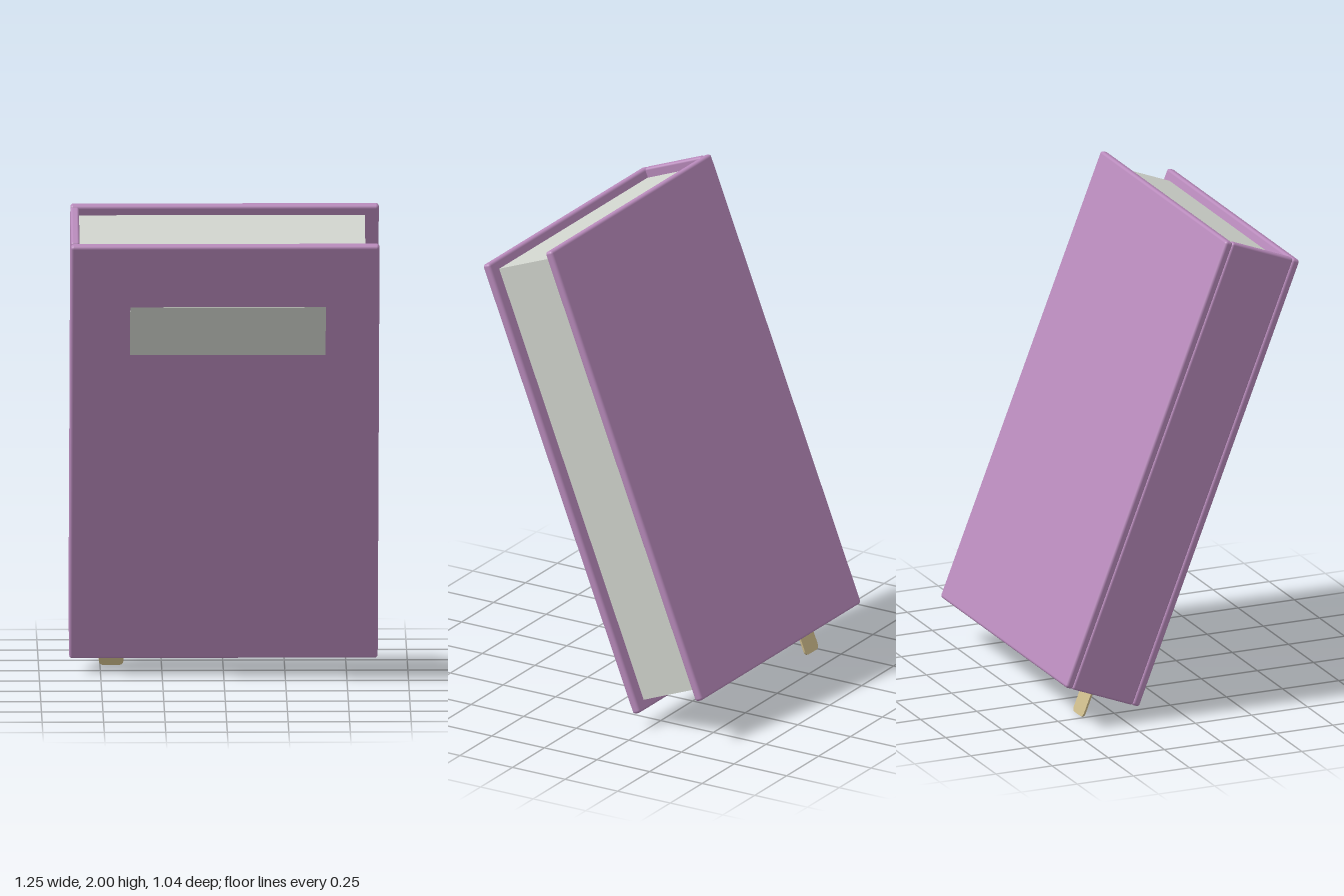
import * as THREE from 'three';
import { RoundedBoxGeometry } from 'three/addons/geometries/RoundedBoxGeometry.js';

const WIDTH = 1.254, LENGTH = 1.955, DEPTH = 0.354, BOARD = 0.035;

export function createModel() {
  const cover = new THREE.MeshStandardMaterial({ color: 0xb88abb });
  const paper = new THREE.MeshStandardMaterial({ color: 0xd0d4cd });
  const cloth = new THREE.MeshStandardMaterial({ color: 0xcdbb8b });

  const model = new THREE.Group();
  const book = new THREE.Group();
  book.name = 'book';
  model.add(book);

  const add = (name, geometry, material, x, y, z) => {
    const mesh = new THREE.Mesh(geometry, material);
    mesh.name = name;
    mesh.position.set(x, y, z);
    book.add(mesh);
  };

  // Two boards with softened edges
  for (const side of [1, -1]) {
    add(side > 0 ? 'frontCover' : 'backCover',
      new RoundedBoxGeometry(WIDTH, LENGTH, BOARD, 3, 0.012), cover,
      0, 0, side * (DEPTH - BOARD) / 2);
  }

  // Spine between the boards
  add('spine', new RoundedBoxGeometry(BOARD, LENGTH, DEPTH - 2 * BOARD + 0.006, 3, 0.01), cover,
    -(WIDTH - BOARD) / 2, 0, 0);

  // Page block, set in from the board edges
  add('pages', new THREE.BoxGeometry(1.165, 1.875, DEPTH - 2 * BOARD), paper, -0.0125, 0, 0);

  // Title plate on the front board
  add('label', new THREE.BoxGeometry(0.795, 0.226, 0.004), paper, 0.012, 0.58, DEPTH / 2);

  // Ribbon bookmark with a rounded lower end
  const w = 0.05, r = 0.022, low = -1.101, high = -0.92;
  const outline = new THREE.Shape();
  outline.moveTo(-w, high);
  outline.lineTo(-w, low + r);
  outline.quadraticCurveTo(-w, low, -w + r, low);
  outline.lineTo(w - r, low);
  outline.quadraticCurveTo(w, low, w, low + r);
  outline.lineTo(w, high);
  add('ribbon', new THREE.ExtrudeGeometry(outline, { depth: 0.008, bevelEnabled: false, curveSegments: 6 }),
    cloth, -0.455, 0, 0.011);

  // Lean the whole book forward
  book.rotation.x = THREE.MathUtils.degToRad(21.5);
  book.position.y = 1.03;
  return model;
}
